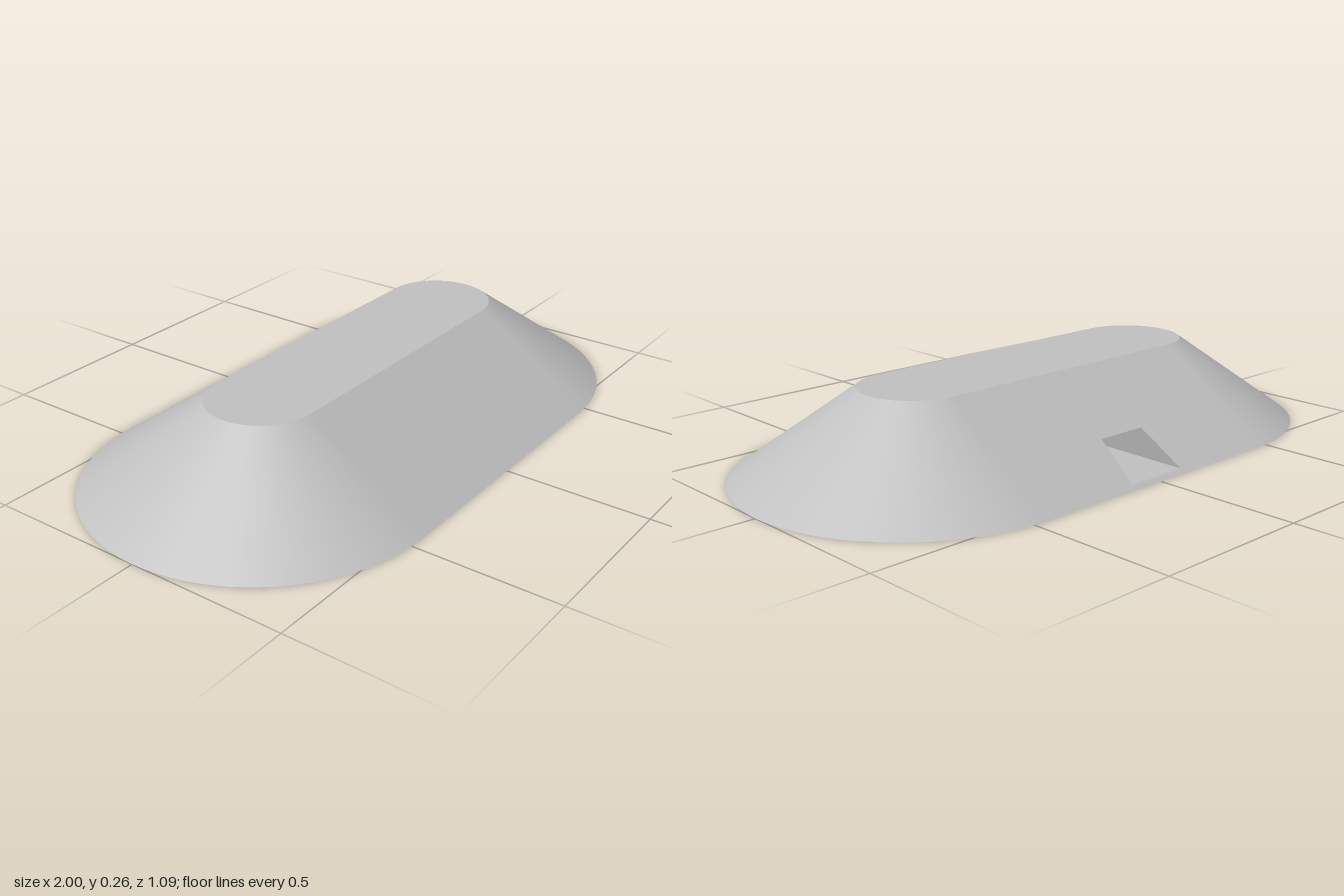
import * as THREE from 'three';

const HALF = 0.455;      // half length of the straight sides
const R_BASE = 0.545;    // end radius at the ground
const R_TOP = 0.17;      // end radius at the roof
const HEIGHT = 0.265;
const SEGMENTS = 48;
const slopeRadius = (y) => R_BASE + (R_TOP - R_BASE) * (y / HEIGHT);

// Doorway cross-section, wider at the floor
const DOOR = [[-0.105, 0.011], [0.105, 0.011], [0.085, 0.11], [-0.085, 0.11]];
const DOOR_END = 0;      // z where the passage stops

// Flat cap with two round ends
function capGeometry(radius) {
  const s = new THREE.Shape();
  s.absarc(HALF, 0, radius, -Math.PI / 2, Math.PI / 2, false);
  s.absarc(-HALF, 0, radius, Math.PI / 2, Math.PI * 1.5, false);
  return new THREE.ShapeGeometry(s, SEGMENTS);
}

// Straight sloping side facing +z, with an optional opening
function slopeGeometry(opening) {
  const s = new THREE.Shape([
    new THREE.Vector2(-HALF, 0), new THREE.Vector2(HALF, 0),
    new THREE.Vector2(HALF, HEIGHT), new THREE.Vector2(-HALF, HEIGHT),
  ]);
  if (opening) s.holes.push(new THREE.Path(opening.map(([x, y]) => new THREE.Vector2(x, y))));
  const g = new THREE.ShapeGeometry(s);
  const p = g.attributes.position;
  for (let i = 0; i < p.count; i++) p.setZ(i, slopeRadius(p.getY(i)));
  g.computeVertexNormals();
  return g;
}

// Inward-facing walls of the passage, its mouth cut along the slope
function passageGeometry() {
  const mouth = DOOR.map(([x, y]) => [x, y, -slopeRadius(y)]);
  const deep = DOOR.map(([x, y]) => [x, y, DOOR_END]);
  const pos = [];
  const quad = (a, b, c, d) => pos.push(...a, ...b, ...c, ...a, ...c, ...d);
  for (let i = 0; i < 4; i++) {
    const j = (i + 1) % 4;
    quad(mouth[i], deep[i], deep[j], mouth[j]);
  }
  quad(deep[3], deep[2], deep[1], deep[0]);
  const g = new THREE.BufferGeometry();
  g.setAttribute('position', new THREE.Float32BufferAttribute(pos, 3));
  g.computeVertexNormals();
  return g;
}

export function createModel() {
  const group = new THREE.Group();
  group.name = 'slopedBuilding';
  const grey = new THREE.MeshStandardMaterial({ color: 0xc0c0c0 });
  grey.name = 'plain grey';

  const add = (name, geometry) => {
    const mesh = new THREE.Mesh(geometry, grey);
    mesh.name = name;
    group.add(mesh);
  };

  // Roof and underside
  add('roof', capGeometry(R_TOP).rotateX(-Math.PI / 2).translate(0, HEIGHT, 0));
  add('underside', capGeometry(R_BASE).rotateX(Math.PI / 2));

  // Long sides, the back one with the doorway
  add('frontSlope', slopeGeometry());
  add('backSlope', slopeGeometry(DOOR).rotateY(Math.PI));

  // Rounded ends
  const profile = [new THREE.Vector2(R_BASE, 0), new THREE.Vector2(R_TOP, HEIGHT)];
  for (const [name, side, start] of [['leftEnd', 1, 0], ['rightEnd', -1, Math.PI]]) {
    add(name, new THREE.LatheGeometry(profile, SEGMENTS, start, Math.PI).translate(side * HALF, 0, 0));
  }

  // Doorway passage
  add('doorwayPassage', passageGeometry());
  return group;
}
